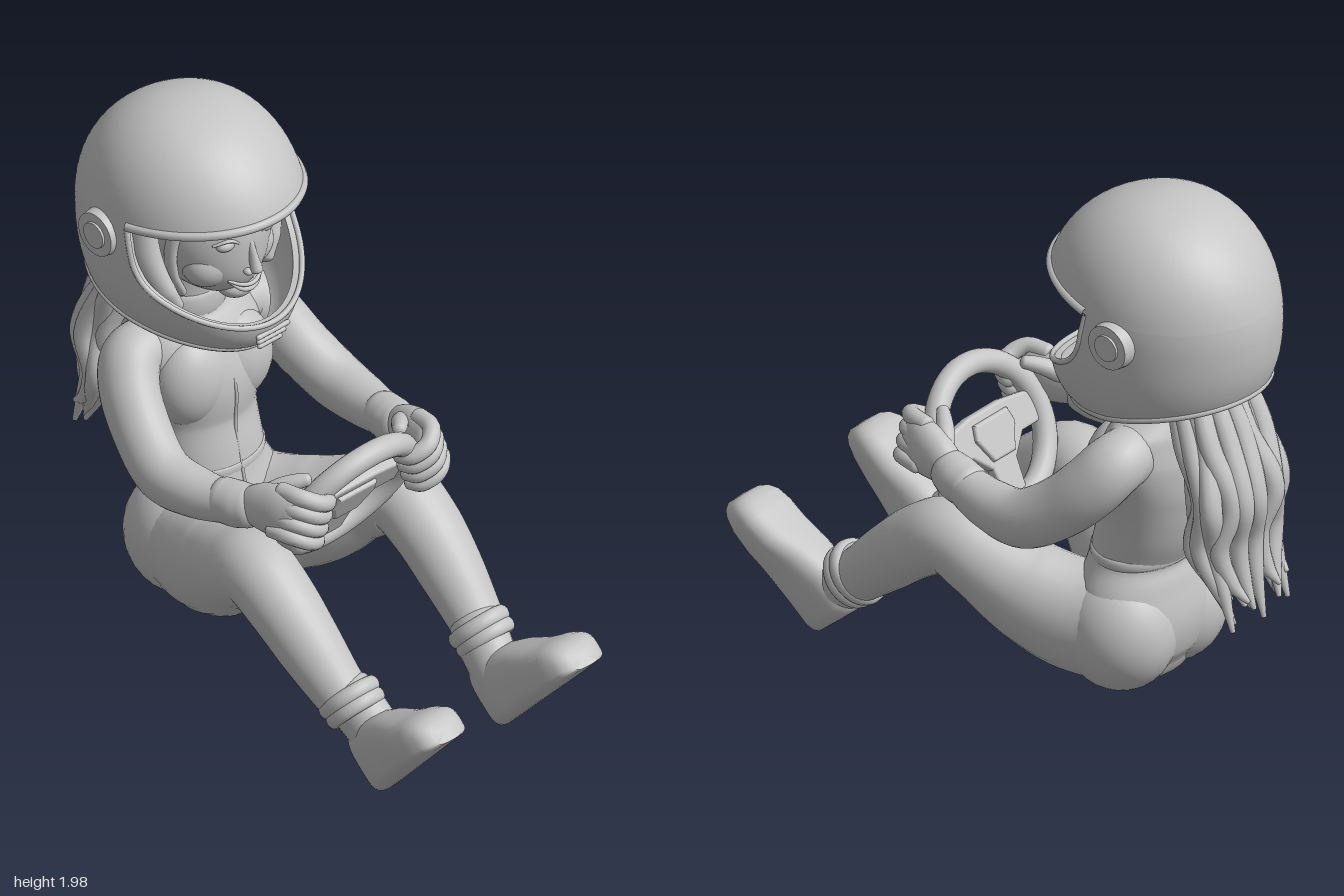
import * as THREE from 'three';
import { toCreasedNormals } from 'three/addons/utils/BufferGeometryUtils.js';

const V = (x, y, z) => new THREE.Vector3(x, y, z);
const X = V(1, 0, 0), Y = V(0, 1, 0);

// Surface through rows of points; every row is a closed loop
function grid(rows, closeRows = false) {
  const n = rows[0].length, idx = [];
  const last = closeRows ? rows.length : rows.length - 1;
  for (let i = 0; i < last; i++) for (let j = 0; j < n; j++) {
    const k = (i + 1) % rows.length, m = (j + 1) % n;
    const a = i * n + j, b = i * n + m, c = k * n + j, d = k * n + m;
    idx.push(a, b, c, b, d, c);
  }
  const g = new THREE.BufferGeometry().setFromPoints(rows.flat());
  g.setIndex(idx);
  g.computeVertexNormals();
  return g;
}

// Smooth elliptical loft with rounded ends; sections are [x, y, z, halfSide, halfDepth]
function loft(secs, ref = X, steps = 6, seg = 28) {
  const path = new THREE.CatmullRomCurve3(secs.map(s => V(s[0], s[1], s[2])));
  const size = new THREE.CatmullRomCurve3(secs.map(s => V(s[3], s[4], 0)));
  const rows = [], N = (secs.length - 1) * steps;
  const ring = (t, shrink, push) => {
    const c = path.getPoint(t), r = size.getPoint(t), T = path.getTangent(t);
    const S = ref.clone().addScaledVector(T, -ref.dot(T)).normalize(), U = T.clone().cross(S);
    c.addScaledVector(T, push * Math.min(r.x, r.y));
    rows.push(Array.from({ length: seg }, (_, j) => {
      const a = j / seg * Math.PI * 2;
      return c.clone().addScaledVector(S, Math.cos(a) * r.x * shrink).addScaledVector(U, Math.sin(a) * r.y * shrink);
    }));
  };
  for (const a of [1.57, 1.2, 0.8, 0.4]) ring(0, Math.cos(a), -0.6 * Math.sin(a));
  for (let i = 0; i <= N; i++) ring(i / N, 1, 0);
  for (const a of [0.4, 0.8, 1.2, 1.57]) ring(1, Math.cos(a), 0.6 * Math.sin(a));
  return grid(rows);
}

// Helmet shell: full at the jaw, peaked over the brow, rounder above and behind
const CY = 1.58, CZ = -0.56, RY = 0.41;
function shellPoint(az, y, k = 1) {
  const t = THREE.MathUtils.clamp((y - CY) / RY, -1, 1), u = Math.abs(t);
  const f = p => Math.pow(Math.max(0, 1 - Math.pow(u, p)), 1 / p);
  const front = Math.cos(az) > 0;
  const fx = f(t < 0 ? 3 : 2.3), fz = f(t >= 0 ? 2 : front ? 6 : 2.3);
  const rz = t > 0 && front ? 0.425 : 0.405;
  return V(0.35 * k * fx * Math.sin(az), CY + (y - CY) * (y > CY ? k : 1), CZ + rz * k * fz * Math.cos(az));
}
const OPEN = 1.43;
const reach = az => Math.min(1, Math.abs(az) / OPEN);
const browY = az => 1.71 - 0.04 * reach(az) ** 2;
const chinY = az => 1.31 + 0.2 * reach(az) ** 2 + 0.16 * reach(az) ** 20;
const baseY = az => 1.27 - 0.09 * Math.cos(az);
function shell(hi, lo) {
  const rows = [], n = 18, M = 192;
  for (let i = 0; i < M; i++) {
    const az = (i / M) * Math.PI * 2 - Math.PI;
    const p = Math.asin((hi(az) - CY) / RY), q = Math.asin((lo(az) - CY) / RY);
    const ys = Array.from({ length: n + 1 }, (_, j) => CY + RY * Math.sin(p + (q - p) * j / n));
    rows.push([...ys.map(y => shellPoint(az, y)), ...ys.reverse().map(y => shellPoint(az, y, 0.91))]);
  }
  return toCreasedNormals(grid(rows, true), 0.8);
}
function edgeTrim(fn, from, to, r, closed = false) {
  const pts = Array.from({ length: 81 }, (_, i) => {
    const az = from + (to - from) * i / 80;
    return shellPoint(az, fn(az), 0.99);
  });
  if (closed) pts.pop();
  return new THREE.TubeGeometry(new THREE.CatmullRomCurve3(pts, closed), 160, r, 8, closed);
}

export function createModel() {
  const model = new THREE.Group();
  const clay = new THREE.MeshStandardMaterial({ color: 0xc4c4c4 });
  clay.name = 'grey';
  const add = (name, geo, parent = model) => {
    const m = new THREE.Mesh(geo, clay);
    m.name = name;
    parent.add(m);
    return m;
  };
  const ball = (name, x, y, z, a, b, c) => {
    const m = add(name, new THREE.SphereGeometry(1, 32, 24));
    m.position.set(x, y, z);
    m.scale.set(a, b, c);
  };

  // Torso with waist seam, collar and zip
  add('torso', loft([[0, 0.245, -0.465, 0.19, 0.14], [0, 0.31, -0.465, 0.25, 0.18], [0, 0.42, -0.47, 0.28, 0.198],
    [0, 0.55, -0.465, 0.245, 0.18], [0, 0.66, -0.47, 0.195, 0.155], [0, 0.8, -0.515, 0.2, 0.17], [0, 0.95, -0.53, 0.235, 0.187],
    [0, 1.08, -0.555, 0.262, 0.165], [0, 1.17, -0.57, 0.235, 0.13], [0, 1.23, -0.57, 0.13, 0.11], [0, 1.4, -0.55, 0.1, 0.1]], X, 6, 40));
  const ringAt = (name, y, z, a, b, r) => {
    const m = add(name, new THREE.TorusGeometry(1, r, 10, 48));
    m.rotation.x = Math.PI / 2;
    m.scale.set(a, b, 0.5);
    m.position.set(0, y, z);
  };
  ringAt('waistSeam', 0.655, -0.47, 0.195, 0.154, 0.04);
  ringAt('collar', 1.235, -0.57, 0.125, 0.108, 0.1);
  add('zip', new THREE.TubeGeometry(new THREE.CatmullRomCurve3([V(0, 0.35, -0.28), V(0, 0.5, -0.279), V(0, 0.66, -0.314),
    V(0, 0.8, -0.344), V(0, 0.95, -0.342), V(0, 1.08, -0.389), V(0, 1.17, -0.439)]), 40, 0.006, 6));

  for (const s of [1, -1]) {
    const side = s > 0 ? 'left' : 'right';
    const mir = secs => secs.map(([x, ...r]) => [x * s, ...r]);
    ball(side + 'Chest', 0.1 * s, 0.985, -0.46, 0.14, 0.17, 0.115);

    // Hip and leg
    ball(side + 'Hip', 0.125 * s, 0.385, -0.465, 0.185, 0.218, 0.205);
    add(side + 'Leg', loft(mir([[0.13, 0.385, -0.44, 0.17, 0.2], [0.175, 0.4, -0.3, 0.167, 0.197],
      [0.23, 0.46, -0.16, 0.157, 0.178], [0.285, 0.545, -0.03, 0.139, 0.142], [0.315, 0.6, 0.09, 0.127, 0.13], [0.32, 0.54, 0.21, 0.122, 0.122],
      [0.315, 0.43, 0.34, 0.11, 0.112], [0.305, 0.33, 0.45, 0.095, 0.097], [0.295, 0.27, 0.52, 0.085, 0.09]])));

    // Boot, modelled flat and tipped back onto its heel
    const boot = new THREE.Group();
    boot.name = side + 'Boot';
    boot.position.set(0.27 * s, 0.01, 0.67);
    boot.rotation.x = -0.85;
    model.add(boot);
    const foot = [[0, 0.04, 0.2, 0], [0.012, 0.065, 0.22, 0], [0.04, 0.083, 0.23, 0], [0.14, 0.091, 0.23, 0.008], [0.25, 0.1, 0.2, 0.02],
      [0.34, 0.11, 0.16, 0.03], [0.42, 0.112, 0.14, 0.036], [0.47, 0.102, 0.122, 0.037], [0.495, 0.085, 0.102, 0.037], [0.51, 0.055, 0.08, 0.037]];
    const footRows = foot.map(([z, w, h, dx]) => Array.from({ length: 32 }, (_, j) => {
      const a = j / 32 * Math.PI * 2, c = Math.cos(a), d = Math.sin(a);
      const q = d < 0 ? 0.35 : 0.8;
      return V(dx * s + w * Math.sign(c) * Math.abs(c) ** 0.7, h * (0.5 + 0.5 * Math.sign(d) * Math.abs(d) ** q), z);
    }));
    const flat = (row, z) => row.map(() => V(row[0].x * 0.5 + row[16].x * 0.5, row[8].y / 2, z));
    add('foot', toCreasedNormals(grid([flat(footRows[0], -0.003), ...footRows, flat(footRows[9], 0.513)]), 0.9), boot);
    add('ankle', loft([[0, 0.08, 0.1, 0.08, 0.088], [0, 0.2, 0.1, 0.083, 0.097], [0.02 * s, 0.33, 0.105, 0.09, 0.1]]), boot);
    for (const [y, r] of [[0.275, 0.086], [0.315, 0.09]]) {
      const cuff = add('bootCuff', new THREE.TorusGeometry(r, 0.018, 12, 36), boot);
      cuff.rotation.x = Math.PI / 2;
      cuff.scale.set(1, 1.08, 1.5);
      cuff.position.set(0.02 * s, y, 0.105);
    }

    // Arm and glove cuffs
    add(side + 'Arm', loft(mir([[0.1, 1.1, -0.57, 0.09, 0.09], [0.2, 1.1, -0.568, 0.1, 0.1], [0.265, 1.085, -0.56, 0.102, 0.105], [0.315, 1.02, -0.515, 0.098, 0.107],
      [0.355, 0.915, -0.41, 0.096, 0.104], [0.385, 0.835, -0.275, 0.093, 0.1], [0.375, 0.828, -0.13, 0.085, 0.085],
      [0.352, 0.845, 0, 0.07, 0.071], [0.335, 0.86, 0.08, 0.058, 0.062]])));
    add(side + 'GloveCuff', loft(mir([[0.356, 0.846, -0.025, 0.073, 0.077], [0.346, 0.852, 0.03, 0.076, 0.079], [0.335, 0.862, 0.08, 0.068, 0.074]])));

    // Hand gripping the rim
    add(side + 'Palm', loft(mir([[0.335, 0.865, 0.07, 0.052, 0.06], [0.325, 0.88, 0.13, 0.058, 0.085], [0.31, 0.89, 0.2, 0.06, 0.1],
      [0.295, 0.89, 0.255, 0.05, 0.095]])));
    for (let i = 0; i < 4; i++) {
      const y = 0.972 - i * 0.044, o = (i - 1.5) * 0.016, r = 0.03 - i * 0.001;
      add(side + 'Finger', loft(mir([[0.33 + o, y, 0.2, r, r], [0.315 + o, y + 0.002, 0.275, r, r], [0.265 + o, y - 0.025, 0.312, r, r],
        [0.21 + o, y - 0.055, 0.29, r, r], [0.195 + o, y - 0.06, 0.25, r, r]]), Y, 5, 14));
    }
    add(side + 'Thumb', loft(mir([[0.31, 0.91, 0.12, 0.035, 0.035], [0.265, 0.945, 0.155, 0.031, 0.031], [0.23, 0.965, 0.19, 0.027, 0.027],
      [0.205, 0.975, 0.215, 0.022, 0.022]]), Y, 5, 14));
  }

  // Steering wheel
  const wheel = new THREE.Group();
  wheel.name = 'steeringWheel';
  wheel.position.set(0, 0.805, 0.185);
  wheel.rotation.x = 0.48;
  model.add(wheel);
  add('rim', new THREE.TorusGeometry(0.242, 0.041, 18, 64), wheel);
  const plate = (name, pts, depth) => {
    const shape = new THREE.Shape(pts.map(p => new THREE.Vector2(...p)));
    const g = new THREE.ExtrudeGeometry(shape, { depth, bevelSize: 0.01, bevelThickness: 0.01, bevelSegments: 3 });
    add(name, g.translate(0, 0, -depth / 2), wheel);
  };
  plate('spokes', [[-0.21, 0.06], [-0.08, 0.08], [0.08, 0.08], [0.21, 0.06], [0.22, -0.03], [0.12, -0.03], [0.05, -0.1], [0.04, -0.22],
    [-0.04, -0.22], [-0.05, -0.1], [-0.12, -0.03], [-0.22, -0.03]], 0.02);
  plate('hub', [[-0.075, 0.05], [0.075, 0.05], [0.085, 0.01], [0.045, -0.07], [-0.045, -0.07], [-0.085, 0.01]], 0.05);

  // Face: a sphere narrowed to the jaw and filled out in front
  const face = new THREE.SphereGeometry(1, 48, 36), fp = face.attributes.position;
  for (let i = 0; i < fp.count; i++) {
    const x = fp.getX(i), y = fp.getY(i), z = fp.getZ(i), d = y < 0 ? y * y : 0;
    fp.setXYZ(i, x * 0.205 * (1 - 0.12 * d), 1.57 + y * 0.25, -0.48 + z * 0.215 * (1 + (z > 0 ? 0.4 * d : 0)));
  }
  face.computeVertexNormals();
  add('face', face);
  ball('hairCap', 0, 1.6, -0.55, 0.235, 0.28, 0.24);
  ball('chin', 0, 1.372, -0.345, 0.065, 0.042, 0.06);
  add('nose', loft([[0, 1.59, -0.285, 0.012, 0.014], [0, 1.53, -0.264, 0.014, 0.018], [0, 1.475, -0.243, 0.021, 0.021]], X, 6, 16));
  add('upperLip', loft([[-0.075, 1.437, -0.3, 0.004, 0.005], [-0.035, 1.417, -0.274, 0.007, 0.007], [0, 1.412, -0.266, 0.007, 0.008],
    [0.035, 1.417, -0.274, 0.007, 0.007], [0.075, 1.437, -0.3, 0.004, 0.005]], Y, 5, 12));
  add('lowerLip', loft([[-0.07, 1.43, -0.3, 0.004, 0.005], [-0.035, 1.399, -0.278, 0.008, 0.008], [0, 1.39, -0.272, 0.01, 0.009],
    [0.035, 1.399, -0.278, 0.008, 0.008], [0.07, 1.43, -0.3, 0.004, 0.005]], Y, 5, 12));
  for (const s of [1, -1]) {
    ball('nostril', 0.021 * s, 1.468, -0.264, 0.014, 0.012, 0.018);
    ball('cheek', 0.085 * s, 1.48, -0.385, 0.095, 0.085, 0.084);
    ball('eye', 0.085 * s, 1.587, -0.303, 0.038, 0.023, 0.028);
    add('eyelid', loft([[0.042 * s, 1.582, -0.277, 0.004, 0.005], [0.085 * s, 1.611, -0.28, 0.006, 0.008], [0.132 * s, 1.595, -0.312, 0.004, 0.006]], Y, 6, 10));
    add('eyebrow', loft([[0.035 * s, 1.64, -0.282, 0.004, 0.006], [0.09 * s, 1.658, -0.3, 0.005, 0.008], [0.145 * s, 1.635, -0.343, 0.003, 0.005]], Y, 6, 10));
    add('sideLock', loft([[0.12 * s, 1.74, -0.38, 0.025, 0.025], [0.195 * s, 1.6, -0.43, 0.02, 0.025], [0.195 * s, 1.46, -0.44, 0.018, 0.025], [0.15 * s, 1.36, -0.44, 0.015, 0.02]], X, 6, 14));
    add('cheekPad', loft([[0.265 * s, 1.68, -0.52, 0.045, 0.06], [0.265 * s, 1.53, -0.5, 0.05, 0.07], [0.235 * s, 1.4, -0.47, 0.045, 0.08], [0.2 * s, 1.33, -0.44, 0.03, 0.06]]));
  }

  // Helmet
  const helmet = new THREE.Group();
  helmet.name = 'helmet';
  model.add(helmet);
  add('dome', shell(() => CY + RY, browY), helmet);
  add('chinGuard', shell(chinY, baseY), helmet);
  add('browTrim', edgeTrim(az => browY(az) + 0.008, -OPEN, OPEN, 0.016), helmet);
  add('chinTrim', edgeTrim(chinY, -OPEN, OPEN, 0.01), helmet);
  add('baseTrim', edgeTrim(az => baseY(az) + 0.012, -Math.PI, Math.PI, 0.012, true), helmet);
  for (let i = 0; i < 3; i++) {
    const vent = add('chinVent', new THREE.CapsuleGeometry(0.009, 0.13 - i * 0.02, 4, 10), helmet);
    vent.rotation.z = Math.PI / 2;
    vent.position.set(0, 1.275 - i * 0.026, -0.167 - i * 0.008);
  }
  for (const s of [1, -1]) for (const [r, x] of [[0.085, 0.345], [0.05, 0.353]]) {
    const pivot = add('visorPivot', new THREE.CylinderGeometry(r * 0.92, r, 0.05, 32), helmet);
    pivot.rotation.z = -s * Math.PI / 2;
    pivot.position.set(x * s, 1.6, -0.62);
  }

  // Long wavy hair: a core wrapped in strands
  const hair = new THREE.Group();
  hair.name = 'hair';
  model.add(hair);
  add('hairCore', loft([[0, 1.4, -0.72, 0.14, 0.08], [0, 1.2, -0.8, 0.16, 0.085], [0, 1, -0.87, 0.165, 0.09], [0, 0.82, -0.855, 0.15, 0.07],
    [0, 0.68, -0.91, 0.1, 0.03]]), hair);
  for (let i = 0; i < 16; i++) {
    const a = i / 16 * Math.PI * 2, c = Math.cos(a), d = Math.sin(a);
    const w = Math.sin(i * 2.4) * 0.02, end = 0.61 + 0.05 * Math.sin(i * 4.1);
    add('strand', loft([[c * 0.13, 1.4, -0.72 + d * 0.06, 0.035, 0.03], [c * 0.155 + w, 1.2, -0.8 + d * 0.08, 0.04, 0.033],
      [c * 0.17 - w, 1, -0.87 + d * 0.085, 0.042, 0.035], [c * 0.17 + w, 0.84, -0.85 + d * 0.075, 0.038, 0.032],
      [c * 0.15, 0.71, -0.9 + d * 0.045, 0.028, 0.024], [c * 0.135 - w, end, -0.955 + d * 0.03, 0.009, 0.009]], X, 6, 12), hair);
  }
  return model;
}
